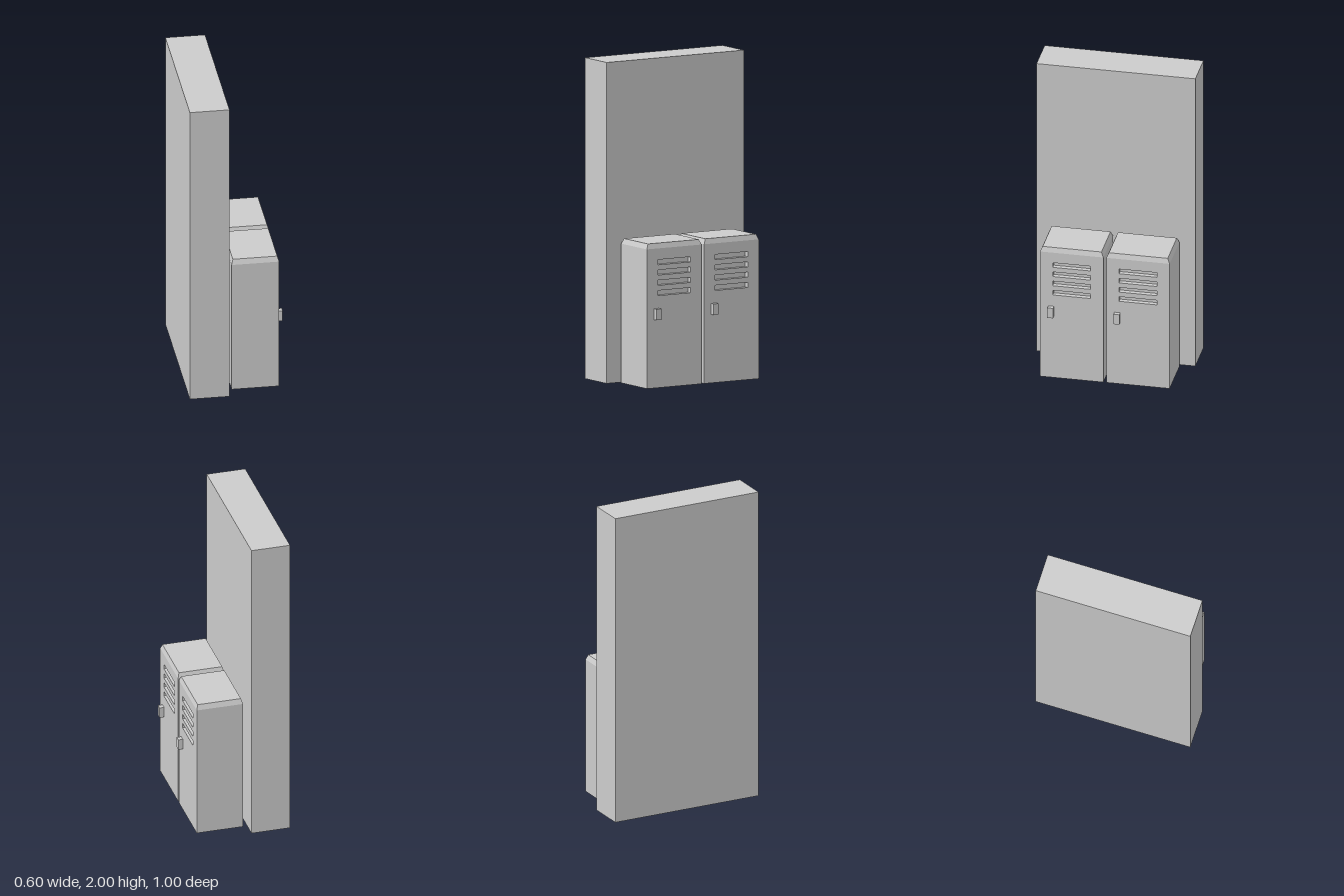
import * as THREE from 'three';

const material = new THREE.MeshStandardMaterial({ color: 0xcccccc, flatShading: true });

function addMesh(parent, name, geometry, x, y, z) {
  const mesh = new THREE.Mesh(geometry, material);
  mesh.name = name;
  mesh.position.set(x, y, z);
  parent.add(mesh);
  return mesh;
}

function rectangle(path, x0, y0, x1, y1) {
  path.moveTo(x0, y0);
  path.lineTo(x1, y0);
  path.lineTo(x1, y1);
  path.lineTo(x0, y1);
  path.closePath();
  return path;
}

// Locker dimensions
const BACK = -0.026, FRONT = 0.271, WIDTH = 0.398;
const SHOULDER = 0.868, HEIGHT = 0.9, SLOT_DEPTH = 0.03;

function createLocker() {
  const locker = new THREE.Group();
  const depth = FRONT - BACK;
  const midX = (FRONT + BACK) / 2;

  // Main body behind the door panel
  const bodyDepth = depth - SLOT_DEPTH;
  addMesh(locker, 'body', new THREE.BoxGeometry(bodyDepth, SHOULDER, WIDTH),
    BACK + bodyDepth / 2, SHOULDER / 2, 0);

  // Door panel with four recessed ventilation slots
  const door = rectangle(new THREE.Shape(), -WIDTH / 2, 0, WIDTH / 2, SHOULDER);
  for (let i = 0; i < 4; i++) {
    const y = 0.782 - i * 0.064;
    door.holes.push(rectangle(new THREE.Path(), -0.119, y - 0.016, 0.119, y + 0.016));
  }
  const doorGeometry = new THREE.ExtrudeGeometry(door, { depth: SLOT_DEPTH, bevelEnabled: false });
  doorGeometry.rotateY(Math.PI / 2);
  addMesh(locker, 'ventedDoor', doorGeometry, FRONT - SLOT_DEPTH, 0, 0);

  // Chamfered top: upper corners are drawn inward
  const capHeight = HEIGHT - SHOULDER;
  const cap = new THREE.BoxGeometry(depth, capHeight, WIDTH);
  const p = cap.attributes.position;
  for (let i = 0; i < p.count; i++) {
    if (p.getY(i) > 0) {
      p.setX(i, p.getX(i) - Math.sign(p.getX(i)) * 0.01);
      p.setZ(i, p.getZ(i) - Math.sign(p.getZ(i)) * 0.014);
    }
  }
  cap.computeVertexNormals();
  addMesh(locker, 'chamferedTop', cap, midX, SHOULDER + capHeight / 2, 0);

  // Door handle
  addMesh(locker, 'handle', new THREE.BoxGeometry(0.03, 0.069, 0.036), 0.285, 0.461, 0.13);
  return locker;
}

export function createModel() {
  const model = new THREE.Group();
  model.name = 'wallLockers';

  // Wall slab
  addMesh(model, 'wall', new THREE.BoxGeometry(0.247, 2, 1), -0.1765, 1, 0);

  // Pair of lockers facing +x
  [['leftLocker', 0.2115], ['rightLocker', -0.206]].forEach(([name, z]) => {
    const locker = createLocker();
    locker.name = name;
    locker.position.z = z;
    model.add(locker);
  });
  return model;
}
